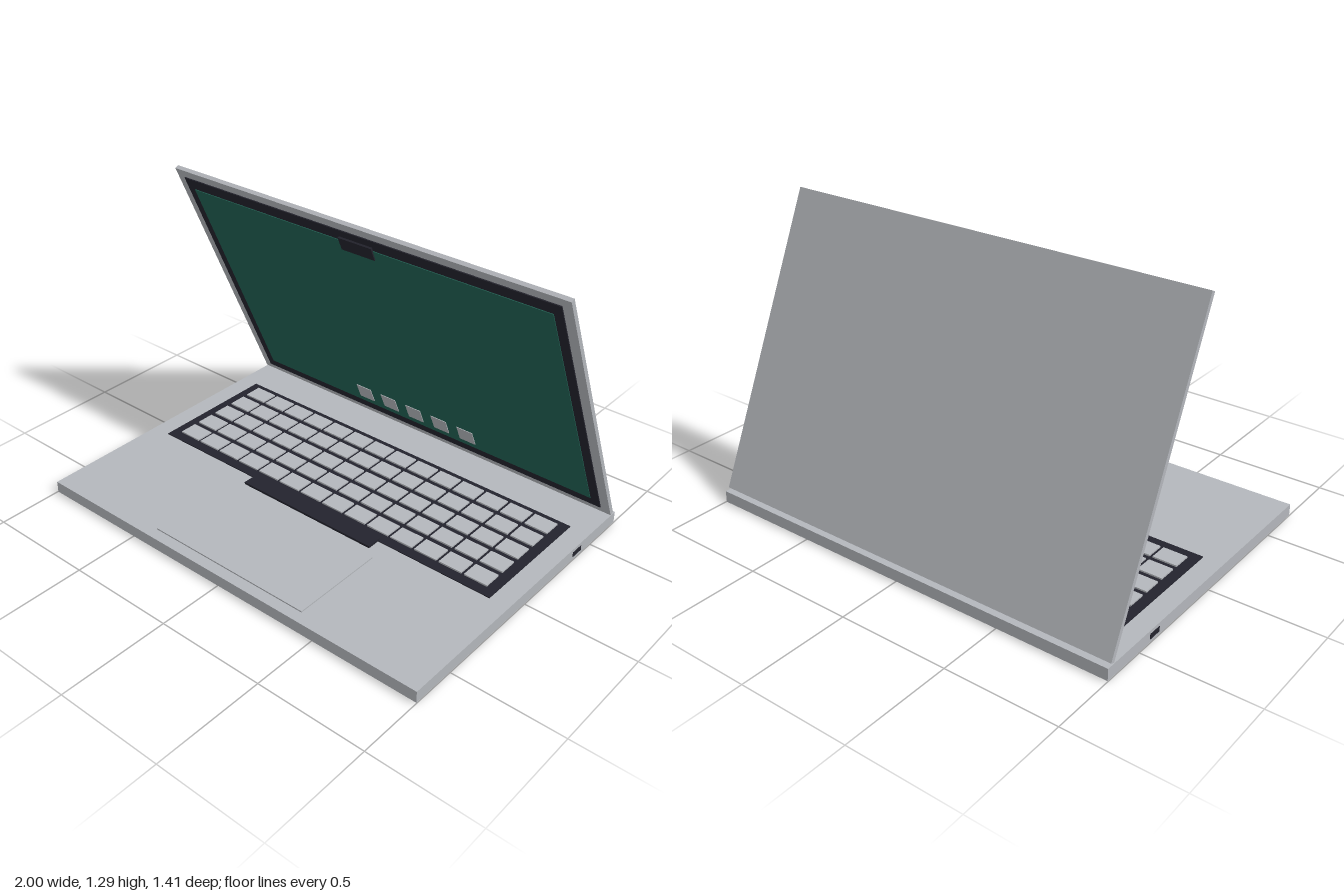
import * as THREE from 'three';

export function createModel() {
  const mat = (name, color) => {
    const m = new THREE.MeshStandardMaterial({ color });
    m.name = name;
    return m;
  };
  const aluminium = mat('aluminium', 0xb4b7bc);
  const dark = mat('dark plastic', 0x23232d);
  const display = mat('display green', 0x226254);

  const model = new THREE.Group();
  model.name = 'laptop';

  // Box given by its minimum and maximum along each axis
  const box = (parent, name, material, [x0, x1], [y0, y1], [z0, z1]) => {
    const mesh = new THREE.Mesh(new THREE.BoxGeometry(x1 - x0, y1 - y0, z1 - z0), material);
    mesh.position.set((x0 + x1) / 2, (y0 + y1) / 2, (z0 + z1) / 2);
    mesh.name = name;
    parent.add(mesh);
    return mesh;
  };

  // Base slab, trackpad and keyboard tray
  const top = 0.053;
  box(model, 'base', aluminium, [-0.998, 0.998], [0, top], [-0.703, 0.703]);
  box(model, 'trackpad', aluminium, [-0.405, 0.405], [top - 0.004, 0.059], [0.215, 0.652]);
  box(model, 'keyboardTray', dark, [-0.908, 0.908], [top - 0.003, 0.057], [-0.487, 0.115]);
  box(model, 'spaceBar', dark, [-0.353, 0.353], [top - 0.002, 0.063], [0.104, 0.175]);

  // Five rows of fourteen keys
  const keys = new THREE.Group();
  keys.name = 'keys';
  model.add(keys);
  for (let row = 0; row < 5; row++) {
    for (let col = 0; col < 14; col++) {
      const x = (col - 6.5) * 0.1243;
      const z = 0.026 - row * 0.1105;
      box(keys, 'key', aluminium, [x - 0.055, x + 0.055], [0.055, 0.064], [z - 0.042, z + 0.042]);
    }
  }

  // One port on each side
  for (const side of [-1, 1]) {
    const x = side * 0.996;
    box(model, side > 0 ? 'leftPort' : 'rightPort', dark, [x - 0.004, x + 0.004], [0.015, 0.038], [-0.425, -0.362]);
  }

  // Lid leaning forward from the rear edge; its inner face is local z = 0
  const lid = new THREE.Group();
  lid.name = 'lid';
  lid.position.set(0, 0.056, -0.666);
  lid.rotation.x = THREE.MathUtils.degToRad(23.9);
  model.add(lid);
  box(lid, 'lidShell', aluminium, [-0.998, 0.998], [0, 1.342], [-0.02, 0]);
  box(lid, 'bezel', dark, [-0.955, 0.955], [0.035, 1.304], [-0.002, 0.005]);
  box(lid, 'screen', display, [-0.914, 0.914], [0.084, 1.249], [0.002, 0.008]);
  box(lid, 'cameraNotch', dark, [-0.085, 0.085], [1.202, 1.268], [0.005, 0.014]);

  // Row of icons along the bottom of the screen
  for (let i = -2; i <= 2; i++) {
    const x = i * 0.1445;
    box(lid, 'screenIcon', aluminium, [x - 0.042, x + 0.042], [0.117, 0.2], [0.006, 0.011]);
  }

  return model;
}
